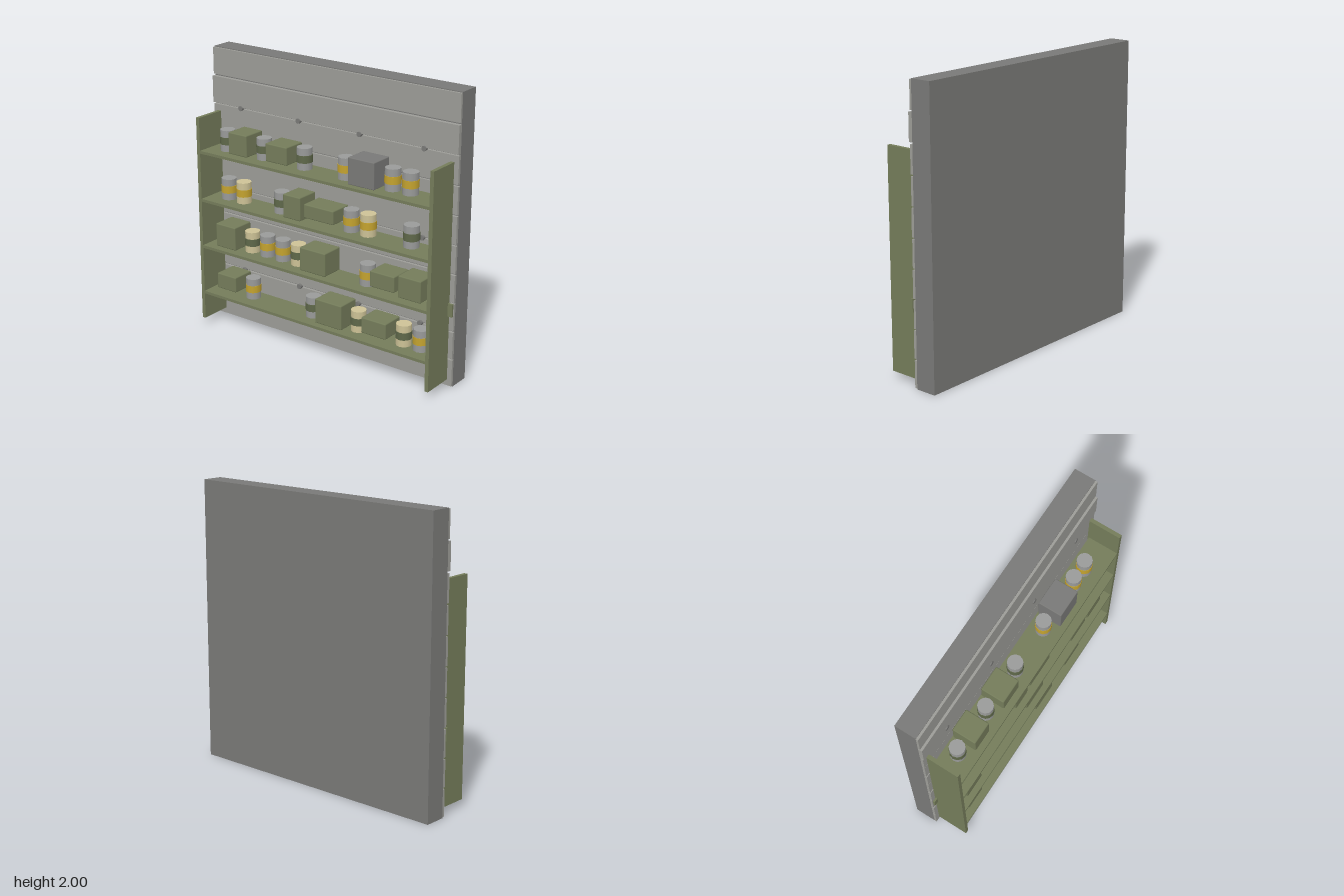
import * as THREE from 'three';
import { RoundedBoxGeometry } from 'three/addons/geometries/RoundedBoxGeometry.js';

const mat = (name, color) => {
  const m = new THREE.MeshStandardMaterial({ color });
  m.name = name;
  return m;
};

export function createModel() {
  const root = new THREE.Group();
  root.name = 'wallShelf';
  const concrete = mat('concrete', 0x9c9c97);
  const darkGrey = mat('darkGrey', 0x797977);
  const steel = mat('steel', 0x999a99);
  const cream = mat('cream', 0xcdc296);
  const yellow = mat('yellow', 0xc4a32f);
  const olive = mat('olive', 0x747c5a);
  const darkOlive = mat('darkOlive', 0x5f684a);

  const add = (parent, name, geo, material, x, y, z) => {
    const m = new THREE.Mesh(geo, material);
    m.name = name;
    m.position.set(x, y, z);
    parent.add(m);
    return m;
  };
  // Box given by its limits
  const box = (parent, name, material, x0, x1, y0, y1, z0, z1, bevel = 0) => {
    const s = [x1 - x0, y1 - y0, z1 - z0];
    const geo = bevel ? new RoundedBoxGeometry(...s, 1, bevel) : new THREE.BoxGeometry(...s);
    return add(parent, name, geo, material, (x0 + x1) / 2, (y0 + y1) / 2, (z0 + z1) / 2);
  };

  // Wall core with ten front panels of slightly different thickness
  const wall = new THREE.Group();
  wall.name = 'wall';
  root.add(wall);
  box(wall, 'wallCore', darkGrey, -1, 1, 0, 2, -0.2, -0.05);
  const fronts = [-0.032, -0.03, -0.033, -0.03, -0.032, -0.03, -0.032, -0.03, -0.021, -0.034];
  fronts.forEach((z, i) =>
    box(wall, 'wallPanel', concrete, -1, 1, i * 0.2 + 0.006, i * 0.2 + 0.194, -0.05, z));
  box(wall, 'paintedStripe', olive, -1, 1, 0.51, 0.6, -0.024, -0.01);

  // Bolts along three of the seams
  const boltGeo = new THREE.CylinderGeometry(0.018, 0.018, 0.025, 10).rotateX(Math.PI / 2);
  for (const y of [0.4, 1.0, 1.6])
    for (const x of [-0.75, -0.25, 0.25, 0.75]) add(wall, 'bolt', boltGeo, darkGrey, x, y, -0.026);

  // Shelf frame
  const shelfTops = [1.315, 0.963, 0.615, 0.263];
  for (const s of [-1, 1])
    add(root, 'sidePanel', new THREE.BoxGeometry(0.027, 1.5, 0.23), olive, s * 0.953, 0.8, 0.085);
  for (const y of shelfTops) box(root, 'shelf', olive, -0.94, 0.94, y - 0.02, y, -0.02, 0.2);

  // Cans with a coloured label band
  const canGeo = new THREE.CylinderGeometry(0.053, 0.053, 0.15, 12);
  const bandGeo = new THREE.CylinderGeometry(0.0555, 0.0555, 0.052, 12);
  const kinds = {
    SY: [steel, yellow], SG: [steel, darkOlive], CY: [cream, yellow], CG: [cream, darkOlive],
  };
  const cans = [
    [[-0.79, 'SG'], [-0.467, 'SG'], [-0.123, 'SG'], [0.215, 'SY'], [0.583, 'SY'], [0.718, 'SY']],
    [[-0.79, 'SY'], [-0.655, 'CY'], [-0.32, 'SG'], [0.262, 'SY'], [0.397, 'CY'], [0.733, 'SG']],
    [[-0.585, 'CG'], [-0.45, 'SY'], [-0.315, 'SY'], [-0.18, 'CG'], [0.397, 'SY']],
    [[-0.587, 'SY'], [-0.053, 'SG'], [0.327, 'CG'], [0.69, 'CG'], [0.825, 'SY']],
  ];
  cans.forEach((row, r) => row.forEach(([x, kind]) => {
    const can = new THREE.Group();
    can.name = 'can';
    can.position.set(x, shelfTops[r] + 0.079, 0.075);
    add(can, 'canBody', canGeo, kinds[kind][0], 0, 0, 0);
    add(can, 'canBand', bandGeo, kinds[kind][1], 0, 0, 0);
    root.add(can);
  }));

  // Bevelled storage boxes: x from, x to, y from, y to
  const boxes = [
    [-0.715, -0.555, 1.327, 1.482], [-0.39, -0.21, 1.338, 1.465],
    [-0.245, -0.1, 0.97, 1.137], [-0.07, 0.175, 1.005, 1.103],
    [-0.85, -0.675, 0.62, 0.79], [-0.107, 0.107, 0.62, 0.787],
    [0.47, 0.662, 0.65, 0.762], [0.69, 0.865, 0.63, 0.783],
    [-0.85, -0.68, 0.3, 0.413], [0.022, 0.242, 0.266, 0.443], [0.405, 0.602, 0.3, 0.412],
  ];
  for (const b of boxes) box(root, 'storageBox', olive, ...b, -0.012, 0.16, 0.008);
  box(root, 'metalBox', darkGrey, 0.29, 0.495, 1.316, 1.5, -0.012, 0.16, 0.006);

  return root;
}
